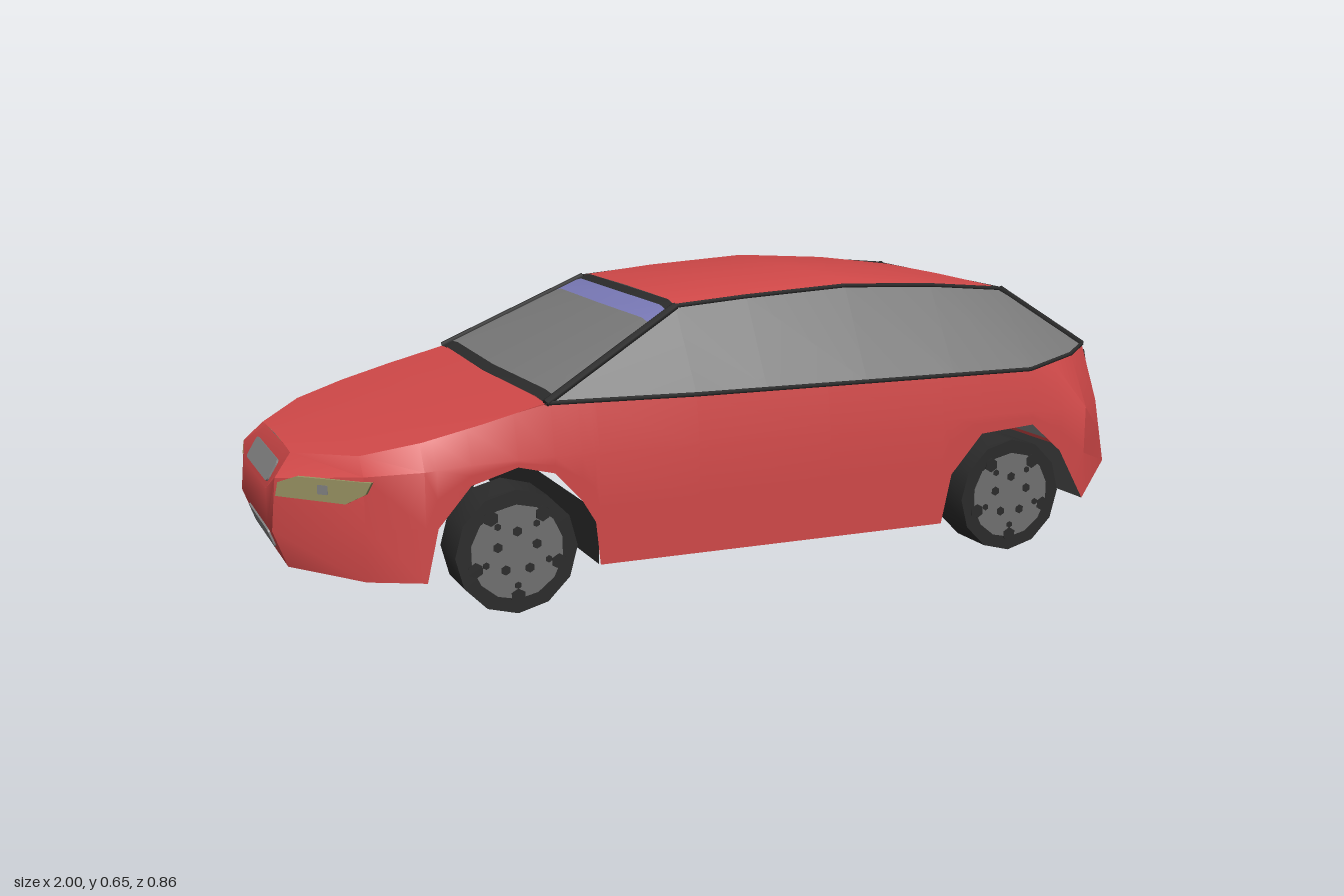
import * as THREE from 'three';
import { toCreasedNormals } from 'three/addons/utils/BufferGeometryUtils.js';

const mat = (name, color) => {
  const m = new THREE.MeshStandardMaterial({ color, side: THREE.DoubleSide });
  m.name = name;
  return m;
};

export function createModel() {
  const car = new THREE.Group();
  car.name = 'car';
  const red = mat('red paint', 0xd04848);
  const glass = mat('grey glass', 0x787878);
  const dark = mat('dark trim', 0x2b2b2b);
  const tint = mat('blue tint', 0x7a7ab8);
  const lampMat = mat('yellow lamp', 0x9a9463);
  const orange = mat('orange lamp', 0xd66a08);
  const grey = mat('light grey', 0x828282);
  const rim = mat('wheel grey', 0x707070);

  const add = (name, geometry, material, parent = car) => {
    const mesh = new THREE.Mesh(geometry, material);
    mesh.name = name;
    parent.add(mesh);
    return mesh;
  };
  const V = (x, y, z) => new THREE.Vector3(x, y, z);
  const flip = p => V(p.x, p.y, -p.z);
  const mix = (a, b, t) => a.clone().lerp(b, t);

  // Surface through rows of points, skipping collapsed triangles
  const patch = (name, rows, material) => {
    const pos = [];
    const tri = (a, b, c) => {
      const area = b.clone().sub(a).cross(c.clone().sub(a)).length();
      if (area > 1e-7) for (const p of [a, b, c]) pos.push(p.x, p.y, p.z);
    };
    for (let i = 0; i < rows.length - 1; i++) {
      for (let j = 0; j < rows[i].length - 1; j++) {
        const [a, b, c, d] = [rows[i][j], rows[i][j + 1], rows[i + 1][j + 1], rows[i + 1][j]];
        tri(a, b, c);
        tri(a, c, d);
      }
    }
    const g = new THREE.BufferGeometry();
    g.setAttribute('position', new THREE.Float32BufferAttribute(pos, 3));
    return add(name, toCreasedNormals(g, 0.6), material);
  };
  // Rows given for the +z half, mirrored to the other side
  const pair = (name, rows, material) => {
    patch(name + 'Left', rows.map(r => r.slice().reverse()), material);
    patch(name + 'Right', rows.map(r => r.map(flip)), material);
  };

  // Shoulder and waist lines: [key x, waist point, shoulder point]
  const keys = [
    [-1, V(-0.99, 0.285, 0.2), V(-0.95, 0.33, 0.17)],
    [-0.84, V(-0.84, 0.31, 0.37), V(-0.84, 0.347, 0.335)],
    [-0.72, V(-0.72, 0.32, 0.42), V(-0.72, 0.375, 0.385)],
    [-0.6, V(-0.6, 0.33, 0.43), V(-0.6, 0.405, 0.4)],
    [-0.46, V(-0.46, 0.33, 0.43), V(-0.46, 0.44, 0.403)],
    [-0.12, V(-0.12, 0.33, 0.43), V(-0.12, 0.435, 0.413)],
    [0.74, V(0.74, 0.33, 0.43), V(0.74, 0.43, 0.413)],
    [0.89, V(0.89, 0.33, 0.43), V(0.88, 0.452, 0.375)],
    [1, V(0.97, 0.33, 0.36), V(0.94, 0.467, 0.335)],
  ];
  const line = (x, k) => {
    let i = 0;
    while (i < keys.length - 2 && x > keys[i + 1][0]) i++;
    const t = (x - keys[i][0]) / (keys[i + 1][0] - keys[i][0]);
    return mix(keys[i][k], keys[i + 1][k], t);
  };

  // Body sides; the lower edge runs around both wheel arches
  const lower = [
    [-1, 0.09], [-0.84, 0.088], [-0.725, 0.085], [-0.7, 0.2], [-0.63, 0.285], [-0.53, 0.315],
    [-0.45, 0.295], [-0.39, 0.23], [-0.36, 0.18], [-0.35, 0.085], [-0.12, 0.085], [0.2, 0.085],
    [0.495, 0.085], [0.52, 0.2], [0.6, 0.29], [0.74, 0.3], [0.82, 0.23], [0.89, 0.107], [1, 0.175],
  ];
  const side = [[], [], [], []];
  for (const [x, y] of lower) {
    const c = line(x, 1);
    const a = V(x === -1 ? -0.97 : x, y, c.z);
    const b = mix(a, c, 0.5);
    if (x === -1) b.set(-1, 0.17, c.z);
    [a, b, c, line(x, 2)].forEach((p, i) => side[i].push(p));
  }
  pair('bodySide', side, red);

  // Nose
  const front = side.map(r => r[0]);
  const inner = [V(-0.97, 0.09, 0.14), V(-1, 0.17, 0.14), V(-1, 0.25, 0.14), V(-0.95, 0.333, 0.12)];
  patch('nose', front.map((p, i) => [flip(p), flip(inner[i]), inner[i], p]), red);

  // Hood
  const crown = [0.335, 0.358, 0.387, 0.413, 0.445];
  patch('hood', crown.map((y, i) => {
    const d = keys[i][2];
    const e = V(d.x, d.y + (y - d.y) * 0.7, d.z * 0.65);
    return [flip(d), flip(e), V(d.x - (i === 4 ? 0.015 : 0), y, 0), e, d];
  }), red);

  // Tailgate and the dark underside of the rear bumper
  const last = lower.length - 1;
  patch('tailgate', side.map(r => [r[last], flip(r[last])]), red);
  const tailLow = side[0][last], tailFront = side[0][last - 1];
  patch('bumperUnderside', [[tailLow, flip(tailLow)], [tailFront, flip(tailFront)]], dark);
  patch('crossBeam', [0.085, 0.2].map(y => [V(-0.352, y, -0.425), V(-0.352, y, 0.425)]), dark);

  // Roof
  const roofEdge = [V(-0.12, 0.612, 0.295), V(0.05, 0.625, 0.3), V(0.3, 0.637, 0.3),
    V(0.53, 0.626, 0.295), V(0.73, 0.607, 0.287)];
  const roofRise = [0.01, 0.012, 0.014, 0.01, 0.003];
  patch('roof', roofEdge.map((p, i) => {
    const q = V(p.x, p.y + roofRise[i], p.z - 0.04);
    return [flip(p), flip(q), V(p.x, q.y + 0.002, 0), q, p];
  }), red);

  // Side windows
  const base = line(-0.46, 2), tail = line(1, 2), corner = line(0.89, 2);
  const sill = [base, ...[-0.12, 0.05, 0.3, 0.53, 0.74].map(x => line(x, 2)), corner, tail];
  const lastEdge = roofEdge[4];
  pair('sideWindow', [sill, [base, ...roofEdge, mix(lastEdge, tail, 0.6), tail]], glass);

  // Windshield in bands: lower trim, glass, tint, upper trim
  const shieldRow = t => {
    const p = mix(base, roofEdge[0], t);
    const mid = mix(V(-0.475, 0.445, 0), V(-0.12, 0.622, 0), t);
    const q = mix(mid, p, 0.85);
    q.y = mid.y;
    return [flip(p), flip(q), mid, q, p];
  };
  [[0, 0.07, dark, 'windshieldLowerTrim'], [0.07, 0.8, glass, 'windshield'],
    [0.8, 0.94, tint, 'windshieldTint'], [0.94, 1, dark, 'windshieldUpperTrim']]
    .forEach(([a, b, m, n]) => patch(n, [shieldRow(a), shieldRow(b)], m));

  // Rear window
  patch('rearWindow', [[flip(lastEdge), V(0.73, 0.612, 0), lastEdge],
    [flip(tail), V(0.94, 0.467, 0), tail]], glass);

  // Window seals along the glass edges
  const seal = (pts, r) => {
    for (let i = 0; i < pts.length - 1; i++) {
      const d = pts[i + 1].clone().sub(pts[i]);
      const m = add('windowSeal', new THREE.CylinderGeometry(r, r, d.length(), 6), dark);
      m.position.copy(mix(pts[i], pts[i + 1], 0.5));
      m.quaternion.setFromUnitVectors(V(0, 1, 0), d.normalize());
    }
  };
  for (const f of [p => p, flip]) {
    seal(sill.map(f), 0.005);
    seal(roofEdge.map(f), 0.005);
    seal([base, roofEdge[0]].map(f), 0.009);
    seal([lastEdge, tail].map(f), 0.008);
  }
  seal([tail, flip(tail)], 0.004);
  seal([lastEdge, flip(lastEdge)], 0.004);

  // Thin plate lying on a surface, straddling it
  const plate = (name, shape, origin, u, v, material, depth = 0.008) => {
    const g = new THREE.ExtrudeGeometry(shape, { depth, bevelEnabled: false, curveSegments: 4 });
    g.translate(0, 0, -depth / 2);
    const n = u.clone().cross(v).normalize();
    g.applyMatrix4(new THREE.Matrix4().makeBasis(u, v, n).setPosition(origin));
    add(name, g, material);
  };
  const rounded = (w, h, r) => {
    const s = new THREE.Shape(), x = w / 2, y = h / 2;
    s.moveTo(-x + r, -y).lineTo(x - r, -y).quadraticCurveTo(x, -y, x, -y + r);
    s.lineTo(x, y - r).quadraticCurveTo(x, y, x - r, y).lineTo(-x + r, y);
    s.quadraticCurveTo(-x, y, -x, y - r).lineTo(-x, -y + r).quadraticCurveTo(-x, -y, -x + r, -y);
    return s;
  };

  // Headlights on the angled front corners
  const lamp = new THREE.Shape([[0.015, 0.25], [0.022, 0.28], [0.07, 0.297], [0.255, 0.301],
    [0.24, 0.275], [0.19, 0.25]].map(p => new THREE.Vector2(...p)));
  for (const s of [1, -1]) {
    const u = V(0.16, 0, 0.17 * s).normalize(), up = V(0, 1, 0);
    plate('headlight', lamp, V(-1, 0, 0.2 * s), u, up, lampMat);
    plate('headlightBulb', rounded(0.026, 0.02, 0.003),
      V(-1, 0.275, 0.2 * s).addScaledVector(u, 0.135), u, up, grey, 0.0095);
  }

  // Front grilles
  const across = V(0, 0, 1);
  plate('upperGrille', rounded(0.26, 0.052, 0.012), V(-0.98, 0.283, 0), across,
    V(0.05, 0.083, 0).normalize(), grey);
  plate('lowerGrille', rounded(0.25, 0.045, 0.012), V(-0.987, 0.135, 0), across,
    V(-0.03, 0.08, 0).normalize(), grey);

  // Rear lamps and number plate panel
  const rearX = y => y > 0.33 ? 0.97 - (y - 0.33) * 0.219 : 0.97 + (0.33 - y) * 0.1935;
  const rear = (name, z, y, w, h, r, m, depth) => plate(name, rounded(w, h, r), V(rearX(y), y, z),
    V(0, 0, -1), V(rearX(y + 0.01) - rearX(y - 0.01), 0.02, 0).normalize(), m, depth);
  rear('numberPanel', -0.02, 0.22, 0.33, 0.07, 0.015, grey);
  for (const s of [1, -1]) {
    const z = d => d * s - 0.01;
    rear('tailLamp', z(0.268), 0.414, 0.085, 0.08, 0.012, grey);
    rear('indicator', z(0.33), 0.415, 0.022, 0.074, 0.002, orange);
    rear('indicatorEdge', z(0.343), 0.415, 0.005, 0.074, 0.001, dark, 0.0095);
  }

  // Wheels with patterned hub caps
  const disc = (r, n, depth) => new THREE.CylinderGeometry(r, r, depth, n).rotateX(Math.PI / 2);
  for (const x of [-0.535, 0.685]) {
    for (const s of [1, -1]) {
      const wheel = new THREE.Group();
      wheel.name = (x < 0 ? 'front' : 'rear') + 'Wheel' + (s > 0 ? 'Left' : 'Right');
      wheel.position.set(x, 0.134, 0.371 * s);
      car.add(wheel);
      add('tyre', toCreasedNormals(disc(0.134, 12, 0.114), 0.7), dark, wheel);
      add('hubCap', disc(0.102, 14, 0.004), rim, wheel).position.z = 0.057 * s;
      for (let i = 0; i < 5; i++) {
        const a = i / 5 * Math.PI * 2 + Math.PI / 2;
        for (const [d, r, t] of [[0.045, 0.011, 0], [0.096, 0.017, Math.PI / 5], [0.072, 0.008, Math.PI / 5]]) {
          add('hubOpening', disc(r, 6, 0.002), dark, wheel)
            .position.set(Math.cos(a + t) * d, Math.sin(a + t) * d, 0.0592 * s);
        }
      }
    }
  }
  return car;
}
